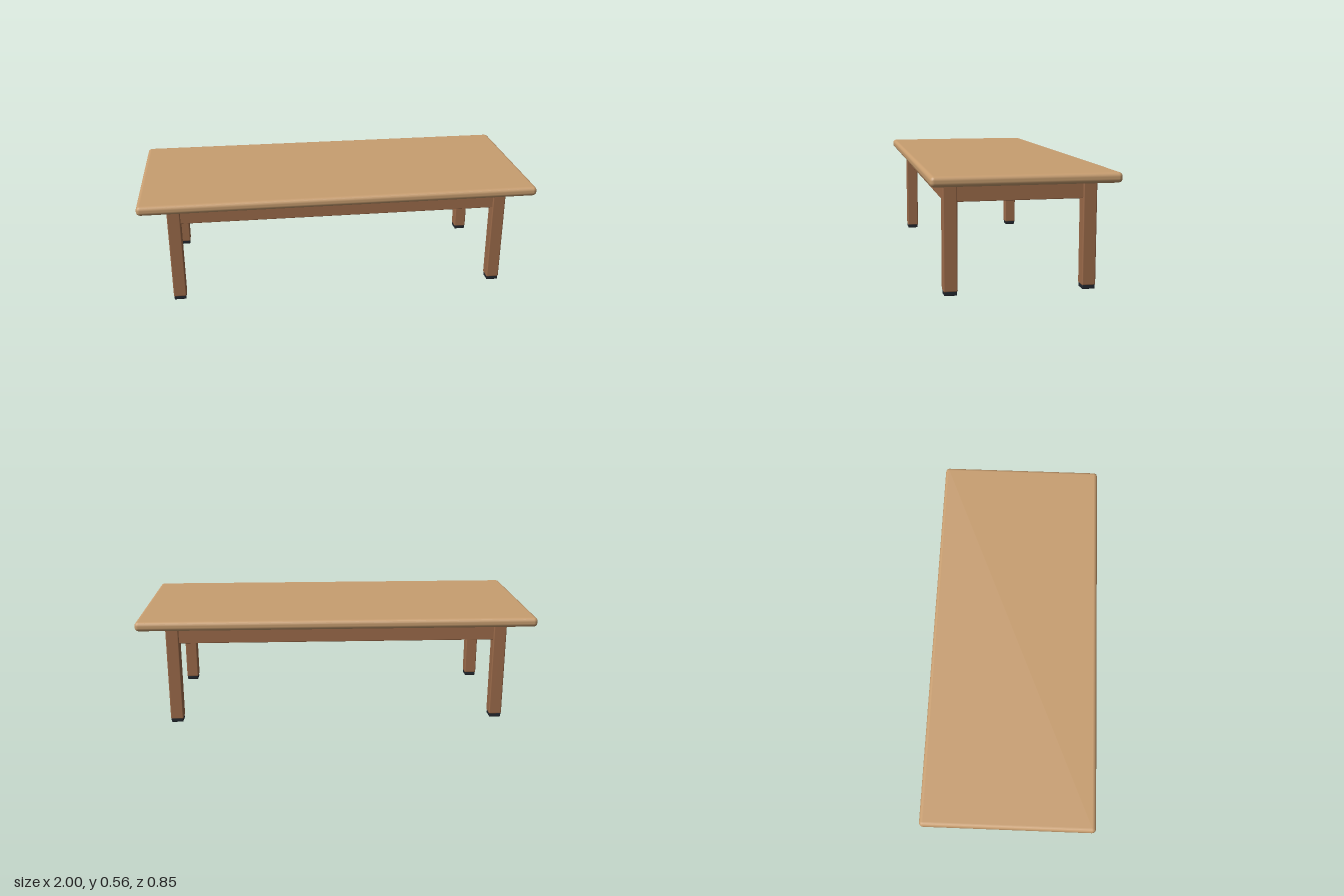
import * as THREE from 'three';
import { RoundedBoxGeometry } from 'three/addons/geometries/RoundedBoxGeometry.js';

const topWood = new THREE.MeshStandardMaterial({ color: 0xc89e70 });
const frameWood = new THREE.MeshStandardMaterial({ color: 0x9c6b4a });
const rubber = new THREE.MeshStandardMaterial({ color: 0x22272e });

const LEG_X = 0.83, LEG_Z = 0.322, LEG_W = 0.065;

// Box with softened edges, placed by its bottom and top heights
function softBox(name, width, depth, bottom, top, radius, material, x = 0, z = 0) {
  const geometry = new RoundedBoxGeometry(width, top - bottom, depth, 2, radius);
  const mesh = new THREE.Mesh(geometry, material);
  mesh.name = name;
  mesh.position.set(x, (bottom + top) / 2, z);
  return mesh;
}

export function createModel() {
  const table = new THREE.Group();
  table.name = 'coffeeTable';

  // Table top with rounded rim
  table.add(softBox('tableTop', 2, 0.854, 0.51, 0.558, 0.02, topWood));

  // Legs with dark foot pads
  for (const [sideX, nameX] of [[1, 'Left'], [-1, 'Right']]) {
    for (const [sideZ, nameZ] of [[1, 'front'], [-1, 'back']]) {
      const x = sideX * LEG_X, z = sideZ * LEG_Z;
      table.add(softBox(`${nameZ}${nameX}Leg`, LEG_W, LEG_W, 0.018, 0.51, 0.006, frameWood, x, z));
      table.add(softBox(`${nameZ}${nameX}Foot`, 0.06, 0.06, 0, 0.022, 0.004, rubber, x, z));
    }
  }

  // Apron rails joining the legs
  const rail = (name, width, depth, x, z) =>
    table.add(softBox(name, width, depth, 0.425, 0.51, 0.003, frameWood, x, z));
  for (const side of [1, -1]) {
    rail(side > 0 ? 'frontRail' : 'backRail', 2 * LEG_X - LEG_W + 0.02, 0.05, 0, side * LEG_Z);
    rail(side > 0 ? 'leftRail' : 'rightRail', 0.05, 2 * LEG_Z - LEG_W + 0.02, side * LEG_X, 0);
  }
  return table;
}
